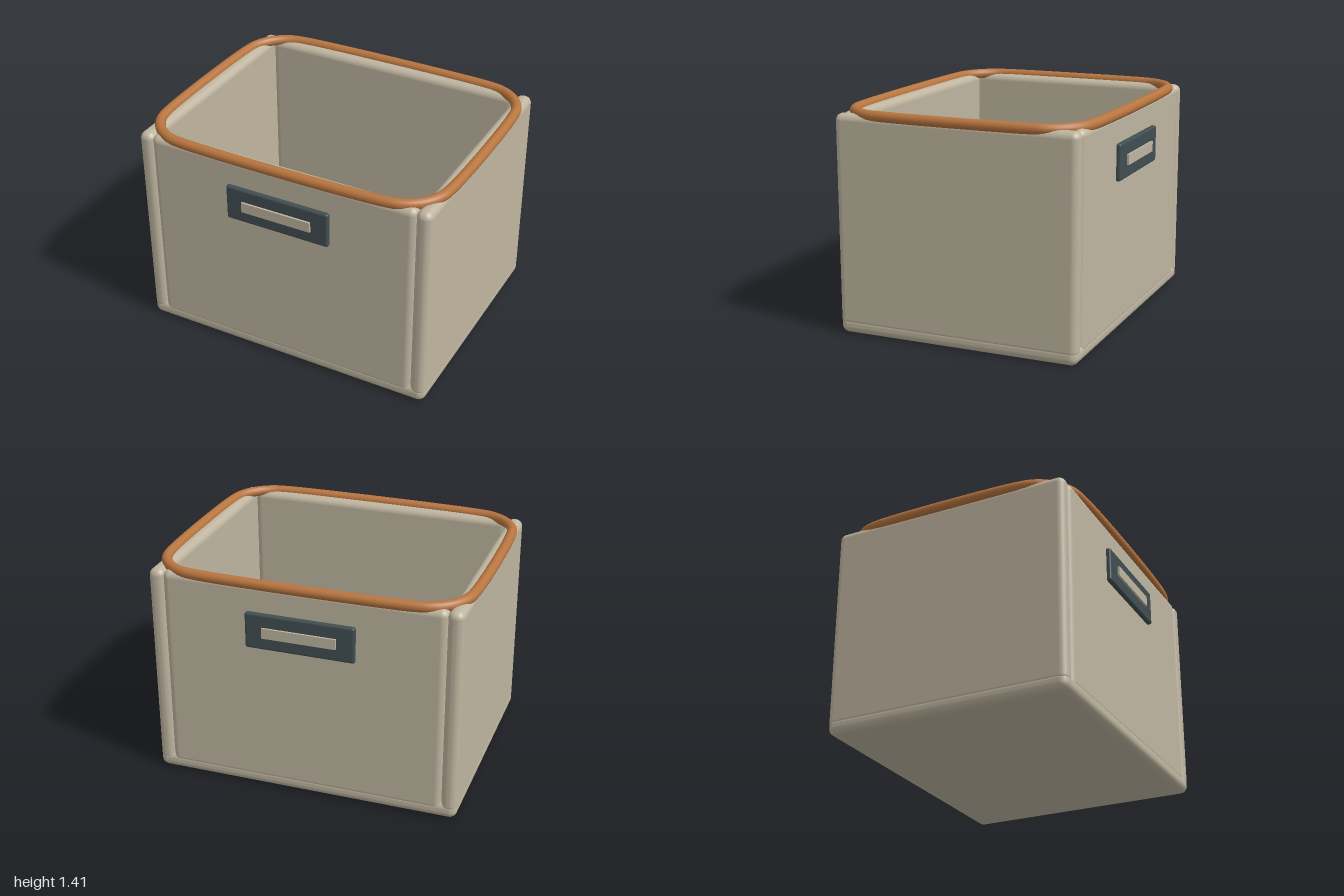
import * as THREE from 'three';
import { RoundedBoxGeometry } from 'three/addons/geometries/RoundedBoxGeometry.js';

const fabric = new THREE.MeshStandardMaterial({ color: 0xbfb5a0 });
const leather = new THREE.MeshStandardMaterial({ color: 0xb8753f });
const slate = new THREE.MeshStandardMaterial({ color: 0x414e52 });

const W = 0.982, D = 0.786, WALL = 0.1, TOP = 1.38, BASE = 0.11;

function addMesh(parent, name, geometry, material, x, y, z) {
  const mesh = new THREE.Mesh(geometry, material);
  mesh.name = name;
  mesh.position.set(x, y, z);
  parent.add(mesh);
  return mesh;
}

const rounded = (w, h, d, r) => new RoundedBoxGeometry(w, h, d, 5, r);

// Closed loop with rounded corners and very slightly bowed sides
function rimCurve() {
  const x = 0.966, z = 0.766, r = 0.29;
  const points = [];
  for (let corner = 0; corner < 4; corner++) {
    const sx = corner === 0 || corner === 3 ? 1 : -1;
    const sz = corner < 2 ? 1 : -1;
    for (let i = 0; i <= 4; i++) {
      const a = (corner + i / 4) * Math.PI / 2;
      points.push(new THREE.Vector3(
        sx * (x - r) + r * Math.cos(a), 0, sz * (z - r) + r * Math.sin(a)));
    }
  }
  return new THREE.CatmullRomCurve3(points, true);
}

export function createModel() {
  const bin = new THREE.Group();
  bin.name = 'storageBin';

  // Padded floor
  addMesh(bin, 'base', rounded(2 * W, BASE, 2 * D, 0.048), fabric, 0, BASE / 2, 0);

  // Four padded walls, sunk a little into the floor
  const bottom = 0.045, h = TOP - bottom, y = (TOP + bottom) / 2;
  for (const s of [1, -1]) {
    addMesh(bin, s > 0 ? 'leftWall' : 'rightWall',
      rounded(WALL, h, 2 * D, 0.045), fabric, s * (W - WALL / 2), y, 0);
    addMesh(bin, s > 0 ? 'frontWall' : 'backWall',
      rounded(1.78, h, WALL, 0.045), fabric, 0, y, s * (D - WALL / 2));
  }

  // Piped rim
  addMesh(bin, 'rim', new THREE.TubeGeometry(rimCurve(), 192, 0.033, 16, true),
    leather, 0, 1.379, 0);

  // Handle plates with a raised grip strip, front and back
  for (const s of [1, -1]) {
    const handle = new THREE.Group();
    handle.name = s > 0 ? 'frontHandle' : 'backHandle';
    addMesh(handle, 'plate', rounded(0.69, 0.23, 0.05, 0.014), slate, 0, 1.087, s * 0.789);
    addMesh(handle, 'grip', new THREE.BoxGeometry(0.465, 0.066, 0.04), fabric, 0, 1.087, s * 0.807);
    bin.add(handle);
  }
  return bin;
}
